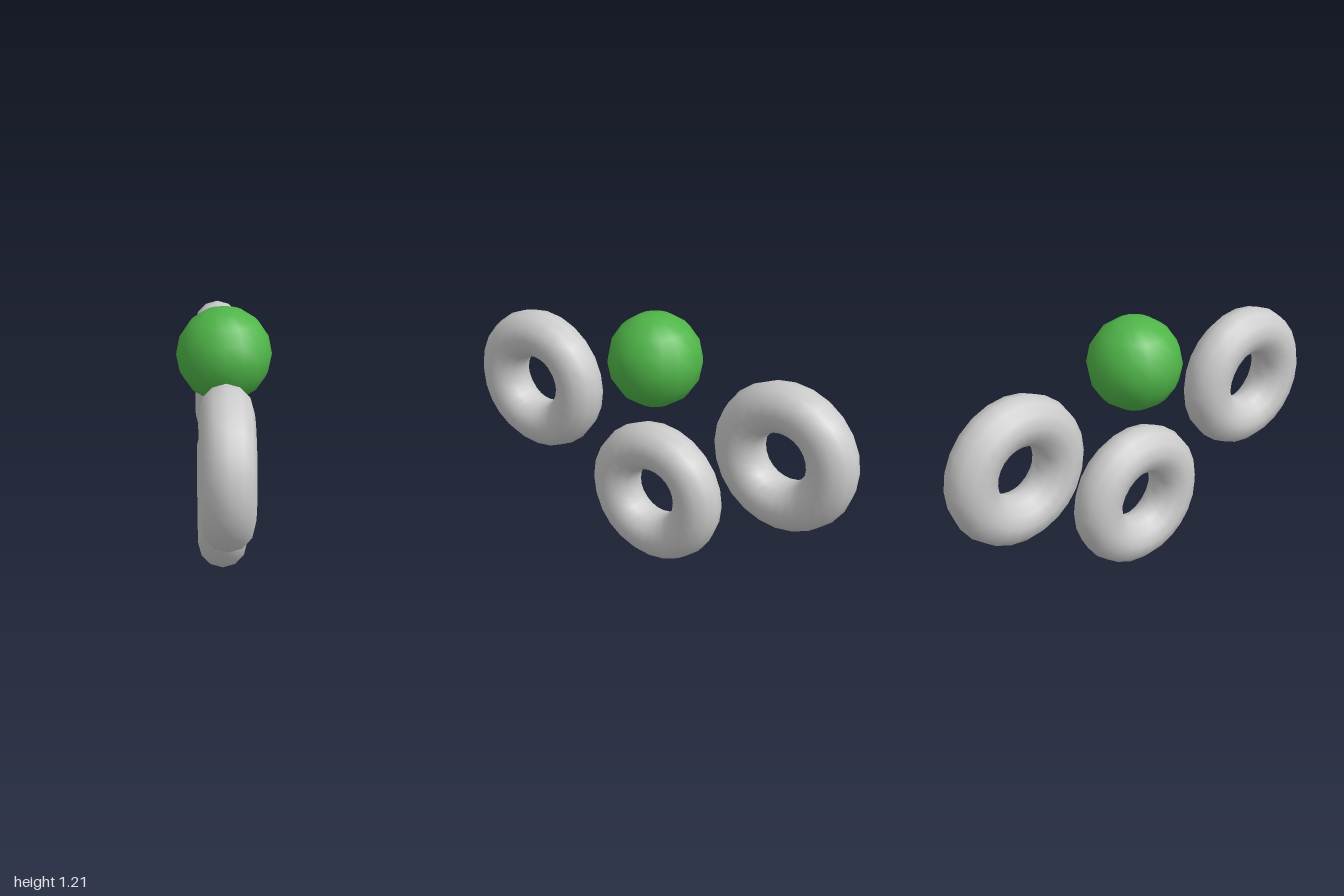
import * as THREE from 'three';

export function createModel() {
  const model = new THREE.Group();
  const grey = new THREE.MeshStandardMaterial({ color: 0xcccccc });
  const green = new THREE.MeshStandardMaterial({ color: 0x4fb548 });

  // Three equal rings standing in the YZ plane
  const ringGeometry = new THREE.TorusGeometry(0.225, 0.11, 12, 24);
  ringGeometry.rotateY(Math.PI / 2);
  const rings = [
    ['frontRing', 0.725, 0.665],
    ['lowerRing', 0.34, 0],
    ['backRing', 0.725, -0.665],
  ];
  for (const [name, y, z] of rings) {
    const ring = new THREE.Mesh(ringGeometry, grey);
    ring.name = name;
    ring.position.set(-0.01, y, z);
    model.add(ring);
  }

  // Ball floating above the lower ring
  const ball = new THREE.Mesh(new THREE.SphereGeometry(0.21, 16, 8), green);
  ball.name = 'ball';
  ball.position.y = 1;
  model.add(ball);

  return model;
}
